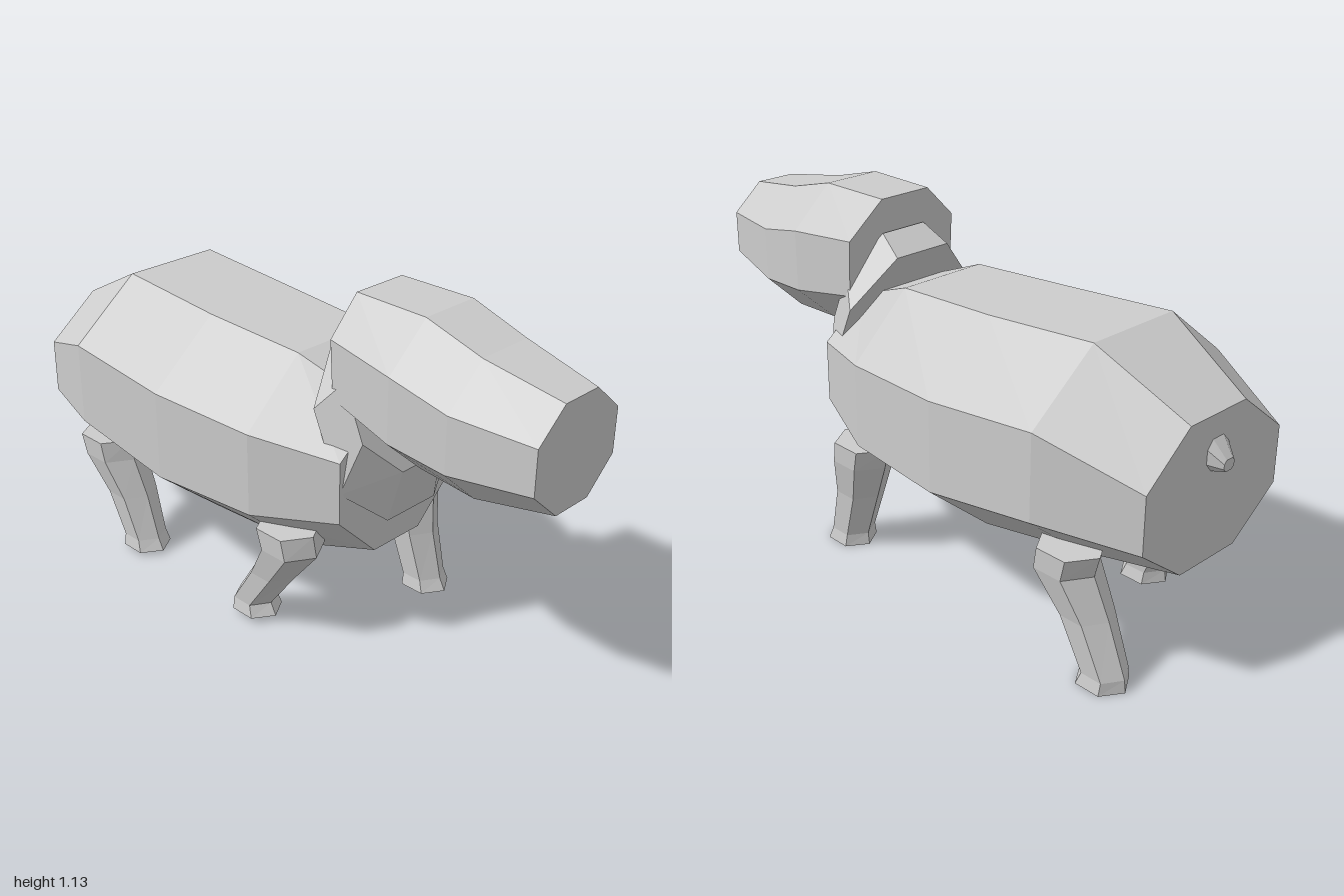
import * as THREE from 'three';

const hide = new THREE.MeshStandardMaterial({ color: 0xcccccc });
hide.name = 'grey hide';
hide.flatShading = true;

// Skin a list of equal rings (counter-clockwise about the loft direction) and close both ends
function loft(name, rings) {
  const pos = [];
  const tri = (...pts) => pts.forEach((p) => pos.push(...p));
  const n = rings[0].length;
  for (let i = 0; i < rings.length - 1; i++) {
    for (let k = 0; k < n; k++) {
      const j = (k + 1) % n;
      const [a, b, c, d] = [rings[i][k], rings[i][j], rings[i + 1][j], rings[i + 1][k]];
      tri(a, b, c);
      tri(a, c, d);
    }
  }
  const first = rings[0], last = rings[rings.length - 1];
  for (let k = 1; k < n - 1; k++) {
    tri(first[0], first[k + 1], first[k]);
    tri(last[0], last[k], last[k + 1]);
  }
  const geo = new THREE.BufferGeometry();
  geo.setAttribute('position', new THREE.Float32BufferAttribute(pos, 3));
  geo.computeVertexNormals();
  const mesh = new THREE.Mesh(geo, hide);
  mesh.name = name;
  return mesh;
}

// Octagon: z at top and bottom, side x range, flat x range, four heights
function octagon([zTop, zBottom, x0, x1, f0, f1, top, upper, lower, bottom]) {
  const at = (x, y) => [x, y, zBottom + (zTop - zBottom) * (y - bottom) / (top - bottom)];
  return [
    at(f1, top), at(f0, top), at(x0, upper), at(x0, lower),
    at(f0, bottom), at(f1, bottom), at(x1, lower), at(x1, upper),
  ];
}

// Horizontal hexagon with a corner to the front
function hexagon([x, y, z, rx, rz]) {
  return Array.from({ length: 6 }, (_, k) => {
    const a = k * Math.PI / 3;
    return [x + rx * Math.sin(a) / 0.866, y, z + rz * Math.cos(a)];
  });
}

// Leg from flared hoof to thigh; heights and z follow the stride
function leg(name, side, footY, footZ, kneeZ, topZ) {
  const x = 0.256 * side;
  return loft(name, [
    [x, footY, footZ, 0.067, 0.085],
    [x, footY + 0.04, footZ - 0.008, 0.06, 0.072],
    [x, 0.2, kneeZ, 0.07, 0.08],
    [x + 0.012 * side, 0.33, topZ + 0.015, 0.085, 0.1],
    [x + 0.016 * side, 0.4, topZ, 0.085, 0.105],
  ].map(hexagon));
}

export function createModel() {
  const model = new THREE.Group();
  model.name = 'animal';

  model.add(loft('body', [
    [-0.96, -0.96, -0.3, 0.29, -0.12, 0.12, 0.8, 0.66, 0.48, 0.35],
    [-0.66, -0.66, -0.405, 0.4, -0.17, 0.165, 0.955, 0.77, 0.5, 0.31],
    [-0.27, -0.27, -0.405, 0.405, -0.17, 0.17, 0.925, 0.73, 0.44, 0.24],
    [0.1, 0.1, -0.365, 0.365, -0.155, 0.16, 0.905, 0.71, 0.44, 0.25],
    [0.37, 0.37, -0.255, 0.26, -0.1, 0.1, 0.8, 0.675, 0.475, 0.32],
  ].map(octagon)));

  // Slanted collar between chest and head
  model.add(loft('neck', [
    [0.19, 0.42, -0.25, 0.25, -0.1, 0.11, 0.965, 0.81, 0.57, 0.445],
    [0.28, 0.455, -0.2, 0.2, -0.08, 0.09, 1.02, 0.9, 0.73, 0.615],
  ].map(octagon)));

  model.add(loft('head', [
    [0.28, 0.3, -0.21, 0.22, -0.1, 0.09, 1.13, 1.02, 0.84, 0.72],
    [0.54, 0.54, -0.25, 0.237, -0.105, 0.095, 1.13, 1.0, 0.8, 0.67],
    [0.74, 0.74, -0.245, 0.21, -0.11, 0.08, 1.075, 0.955, 0.78, 0.655],
    [1.0, 1.0, -0.205, 0.145, -0.1, 0.04, 1.03, 0.94, 0.8, 0.705],
  ].map(octagon)));

  model.add(loft('tail', [
    [-1.0, -1.0, -0.03, 0.015, -0.02, 0.005, 0.675, 0.665, 0.65, 0.64],
    [-0.95, -0.95, -0.06, 0.045, -0.03, 0.02, 0.74, 0.71, 0.66, 0.63],
  ].map(octagon)));

  model.add(leg('frontLeftLeg', 1, 0, 0.28, 0.225, 0.175));
  model.add(leg('frontRightLeg', -1, 0.02, 0.01, 0.1, 0.175));
  model.add(leg('backLeftLeg', 1, 0, -0.82, -0.755, -0.7));
  model.add(leg('backRightLeg', -1, 0.012, -0.555, -0.62, -0.7));
  return model;
}
